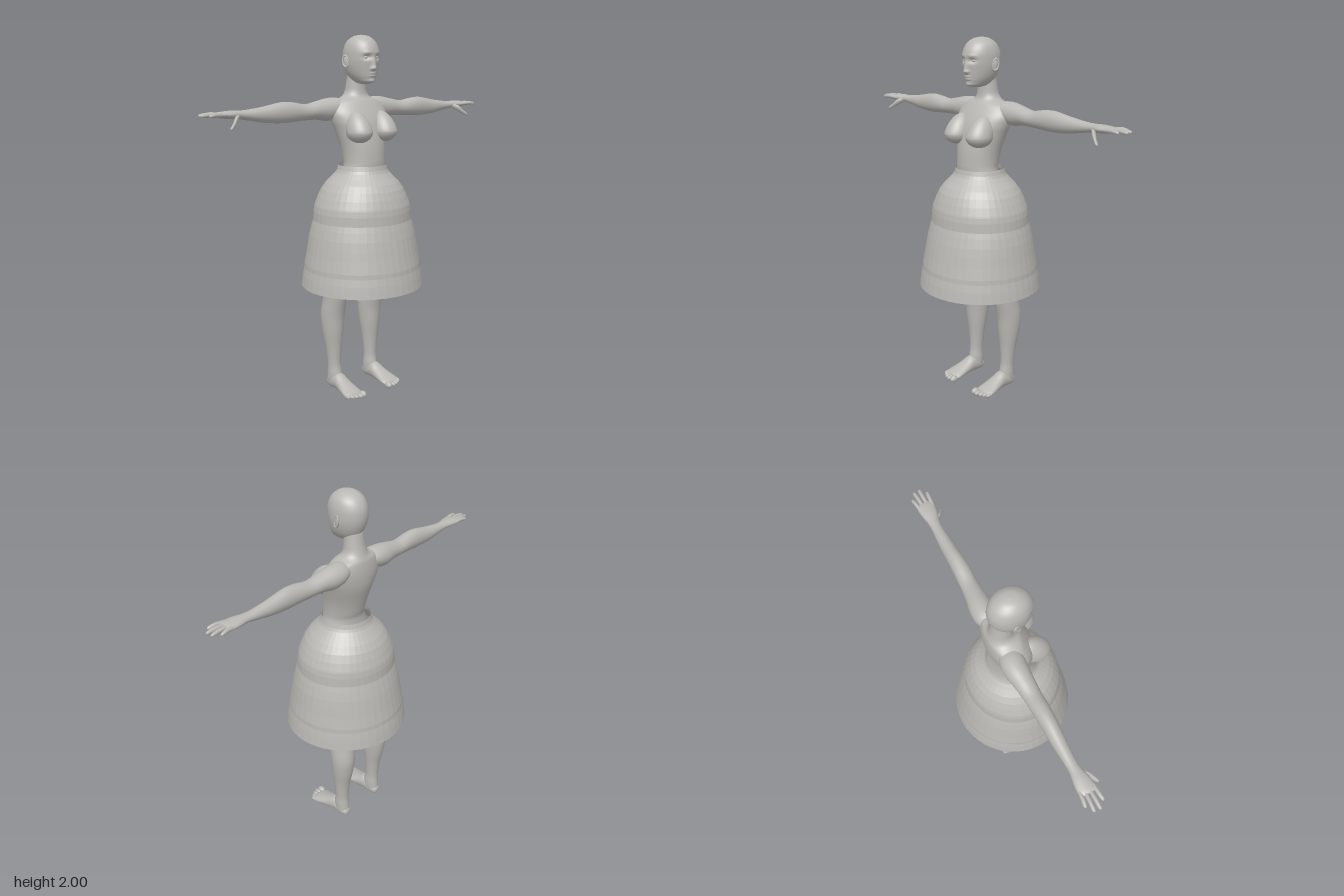
import * as THREE from 'three';

const grey = new THREE.MeshStandardMaterial({ color: 0xbab8b4, side: THREE.DoubleSide });
grey.name = 'clay grey';

const X = [1, 0, 0], Y = [0, 1, 0], Z = [0, 0, 1];
const gauss = (v, c, w) => Math.exp(-(((v - c) / w) ** 2));

// Smooth loft through elliptical sections [cx, cy, cz, a, b]; a lies along U, b along V
function loft(rows, U, V, segs = 24, steps = 5) {
  const rings = [];
  const at = i => rows[Math.max(0, Math.min(rows.length - 1, i))];
  for (let i = 0; i < rows.length - 1; i++) {
    for (let s = 0; s < steps + (i === rows.length - 2 ? 1 : 0); s++) {
      const t = s / steps;
      rings.push(rows[0].map((_, k) => {
        const [p, q, r, w] = [at(i - 1)[k], at(i)[k], at(i + 1)[k], at(i + 2)[k]];
        return q + 0.5 * t * (r - p + t * (2 * p - 5 * q + 4 * r - w + t * (3 * (q - r) + w - p)));
      }));
    }
  }
  const pos = [], idx = [];
  rings.forEach(([cx, cy, cz, a, b], i) => {
    for (let j = 0; j < segs; j++) {
      const th = (j / segs) * Math.PI * 2;
      const u = Math.max(a, 0.0005) * Math.cos(th), v = Math.max(b, 0.0005) * Math.sin(th);
      pos.push(cx + u * U[0] + v * V[0], cy + u * U[1] + v * V[1], cz + u * U[2] + v * V[2]);
      if (i < rings.length - 1) {
        const k = (j + 1) % segs, m = i * segs, n = m + segs;
        idx.push(m + j, m + k, n + k, m + j, n + k, n + j);
      }
    }
  });
  const last = (rings.length - 1) * segs;
  for (let j = 1; j < segs - 1; j++) idx.push(0, j + 1, j, last, last + j, last + j + 1);
  const g = new THREE.BufferGeometry();
  g.setAttribute('position', new THREE.Float32BufferAttribute(pos, 3));
  g.setIndex(idx);
  g.computeVertexNormals();
  return g;
}

// Move each vertex by a rule
function reshape(g, rule) {
  const p = g.attributes.position, v = new THREE.Vector3();
  for (let i = 0; i < p.count; i++) {
    rule(v.fromBufferAttribute(p, i));
    p.setXYZ(i, v.x, v.y, v.z);
  }
  g.computeVertexNormals();
  return g;
}

function mirrored(g) {
  const m = g.clone().scale(-1, 1, 1), ix = m.index.array;
  for (let i = 0; i < ix.length; i += 3) [ix[i], ix[i + 1]] = [ix[i + 1], ix[i]];
  m.computeVertexNormals();
  return m;
}

const ball = (x, y, z, a, b, c, n = 20) => new THREE.SphereGeometry(1, n, n * 0.7 | 0).scale(a, b, c).translate(x, y, z);

// Sections given as height, half width, front z and back z
const upright = list => list.map(([y, w, f, b]) => [0, y, (f + b) / 2, w, (f - b) / 2]);

export function createModel() {
  const model = new THREE.Group();
  const add = (name, g, parent = model) => {
    const m = new THREE.Mesh(g, grey);
    m.name = name;
    parent.add(m);
  };
  const pair = (name, g) => {
    add('left ' + name, g);
    add('right ' + name, mirrored(g));
  };

  // Head with the face pushed out of the front
  const head = loft(upright([
    [2.0, 0.002, -0.008, -0.012], [1.992, 0.04, 0.035, -0.055], [1.965, 0.072, 0.073, -0.095],
    [1.925, 0.087, 0.095, -0.117], [1.88, 0.09, 0.098, -0.122], [1.84, 0.086, 0.094, -0.116],
    [1.80, 0.074, 0.09, -0.1], [1.772, 0.058, 0.086, -0.08], [1.752, 0.038, 0.078, -0.05], [1.742, 0.004, 0.03, -0.01],
  ]), X, Z, 72, 9);
  reshape(head, v => {
    if (v.z < 0.02) return;
    const x = Math.abs(v.x), y = v.y;
    const bridge = y > 1.825 ? Math.max(0, 1 - (y - 1.825) / 0.065) : gauss(y, 1.825, 0.009);
    v.z += 0.022 * gauss(x, 0, 0.011) * bridge
      + 0.006 * gauss(x, 0.012, 0.007) * gauss(y, 1.825, 0.008)
      - 0.013 * gauss(x, 0.034, 0.018) * gauss(y, 1.883, 0.013)
      + 0.004 * gauss(x, 0.035, 0.025) * gauss(y, 1.906, 0.009)
      + 0.006 * gauss(x, 0, 0.02) * (gauss(y, 1.8, 0.005) + gauss(y, 1.787, 0.005))
      + 0.005 * gauss(x, 0, 0.02) * gauss(y, 1.76, 0.01);
  });
  add('head', head);
  pair('eye', ball(0.034, 1.883, 0.068, 0.016, 0.011, 0.014));
  pair('ear', ball(0, 0, 0, 0.009, 0.033, 0.019).rotateX(-0.2).rotateY(-0.35).translate(0.09, 1.86, -0.022));
  pair('ear rim', new THREE.TorusGeometry(0.02, 0.0045, 8, 24).scale(0.85, 1.45, 1)
    .rotateY(Math.PI / 2 - 0.35).rotateX(-0.2).translate(0.096, 1.862, -0.024));

  // Neck, trunk and hips
  add('torso', loft(upright([
    [1.80, 0.05, 0.0, -0.098], [1.74, 0.056, -0.002, -0.108], [1.70, 0.063, 0.0, -0.117], [1.675, 0.085, 0.008, -0.125],
    [1.65, 0.145, 0.028, -0.134], [1.60, 0.178, 0.06, -0.14], [1.55, 0.172, 0.085, -0.14], [1.50, 0.155, 0.1, -0.133],
    [1.42, 0.132, 0.115, -0.11], [1.35, 0.122, 0.121, -0.092], [1.30, 0.125, 0.121, -0.082], [1.20, 0.155, 0.11, -0.1],
    [1.08, 0.185, 0.1, -0.15], [0.98, 0.188, 0.08, -0.16], [0.91, 0.14, 0.05, -0.12], [0.89, 0.02, 0.0, -0.04],
  ]), X, Z, 48, 5));
  const bust = reshape(ball(0, 0, 0, 0.068, 0.06, 0.078, 32), v => {
    if (v.y > 0) { v.y *= 1.75; v.x *= 1 - v.y * 1.2; }
    v.z -= Math.max(0, v.y) * 0.35;
  });
  pair('breast', bust.translate(0.086, 1.497, 0.082));

  // Arms, palms, fingers and thumbs
  pair('arm', loft([
    [0.08, 1.625, -0.065, 0.035, 0.05], [0.13, 1.617, -0.07, 0.055, 0.062], [0.19, 1.61, -0.072, 0.06, 0.06],
    [0.26, 1.608, -0.068, 0.048, 0.051], [0.33, 1.602, -0.065, 0.042, 0.045], [0.41, 1.606, -0.062, 0.05, 0.044],
    [0.48, 1.606, -0.062, 0.053, 0.041], [0.58, 1.601, -0.064, 0.041, 0.036], [0.68, 1.603, -0.065, 0.026, 0.029],
    [0.73, 1.606, -0.064, 0.021, 0.03], [0.78, 1.608, -0.062, 0.02, 0.041], [0.83, 1.609, -0.062, 0.015, 0.045],
    [0.85, 1.61, -0.062, 0.008, 0.036],
  ], Y, Z, 28, 5));
  const fingers = [['index finger', -0.026, -0.02, 0.908], ['middle finger', -0.05, -0.05, 0.937],
    ['ring finger', -0.073, -0.08, 0.934], ['little finger', -0.095, -0.105, 0.9]];
  for (const [name, z0, z1, tip] of fingers) {
    const mid = (0.82 + tip) / 2, zm = (z0 + z1) / 2;
    pair(name, loft([
      [0.81, 1.609, z0, 0.008, 0.009], [mid, 1.612, zm, 0.011, 0.0105],
      [tip - 0.012, 1.609, z1, 0.009, 0.009], [tip - 0.003, 1.608, z1, 0.005, 0.005], [tip, 1.608, z1, 0.001, 0.001],
    ], Y, Z, 12, 4));
  }
  pair('thumb', loft([
    [0.735, 1.602, -0.05, 0.012, 0.016], [0.765, 1.585, -0.02, 0.017, 0.015], [0.79, 1.562, 0.0, 0.012, 0.011],
    [0.808, 1.549, 0.011, 0.009, 0.009], [0.817, 1.544, 0.014, 0.001, 0.001],
  ], Y, Z, 14, 4));

  // Legs and feet
  pair('leg', loft([
    [0.1, 1.0, -0.035, 0.085, 0.11], [0.115, 0.85, -0.035, 0.09, 0.1], [0.128, 0.72, -0.052, 0.075, 0.083],
    [0.132, 0.63, -0.064, 0.068, 0.075], [0.134, 0.55, -0.08, 0.066, 0.073], [0.136, 0.45, -0.101, 0.068, 0.072],
    [0.136, 0.35, -0.101, 0.06, 0.063], [0.135, 0.25, -0.096, 0.046, 0.047], [0.134, 0.15, -0.093, 0.037, 0.04],
    [0.133, 0.09, -0.09, 0.039, 0.046], [0.133, 0.04, -0.093, 0.036, 0.045], [0.133, 0.015, -0.093, 0.02, 0.03],
  ], X, Z, 28, 5));
  pair('foot', loft([
    [0.133, 0.03, -0.145, 0.006, 0.006], [0.133, 0.032, -0.137, 0.024, 0.024], [0.133, 0.04, -0.105, 0.035, 0.039],
    [0.133, 0.052, -0.05, 0.04, 0.05], [0.135, 0.041, 0.0, 0.046, 0.039], [0.138, 0.03, 0.05, 0.054, 0.028],
    [0.14, 0.023, 0.09, 0.057, 0.019], [0.14, 0.018, 0.11, 0.045, 0.011], [0.14, 0.017, 0.118, 0.02, 0.004],
  ], X, Y, 28, 5));
  const toes = [[0.096, 0.122, 0.018], [0.123, 0.124, 0.0125], [0.147, 0.117, 0.012], [0.168, 0.106, 0.0115], [0.186, 0.092, 0.011]];
  toes.forEach(([x, z, r], i) => pair('toe ' + (i + 1), ball(x, 0.021, z, r, r * 1.1, 0.026, 14)));

  // Faceted bell skirt, open at both ends and slightly wider across the hips
  const profile = [[0.343, 0.637], [0.337, 0.68], [0.334, 0.7], [0.326, 0.74], [0.324, 0.765], [0.311, 0.83], [0.302, 0.88],
    [0.292, 0.93], [0.279, 0.98], [0.27, 1.01], [0.267, 1.06], [0.262, 1.09], [0.259, 1.1], [0.244, 1.14], [0.225, 1.18],
    [0.2, 1.215], [0.17, 1.245], [0.147, 1.27], [0.139, 1.285], [0.132, 1.31]].map(p => new THREE.Vector2(...p));
  const skirt = new THREE.LatheGeometry(profile, 44).toNonIndexed();
  add('skirt', reshape(skirt, v => {
    const hip = 0.03 * gauss(v.y, 1.03, 0.2);
    v.x *= 1.01 + hip;
    v.z *= 0.985 - hip * 0.5;
  }));
  return model;
}
